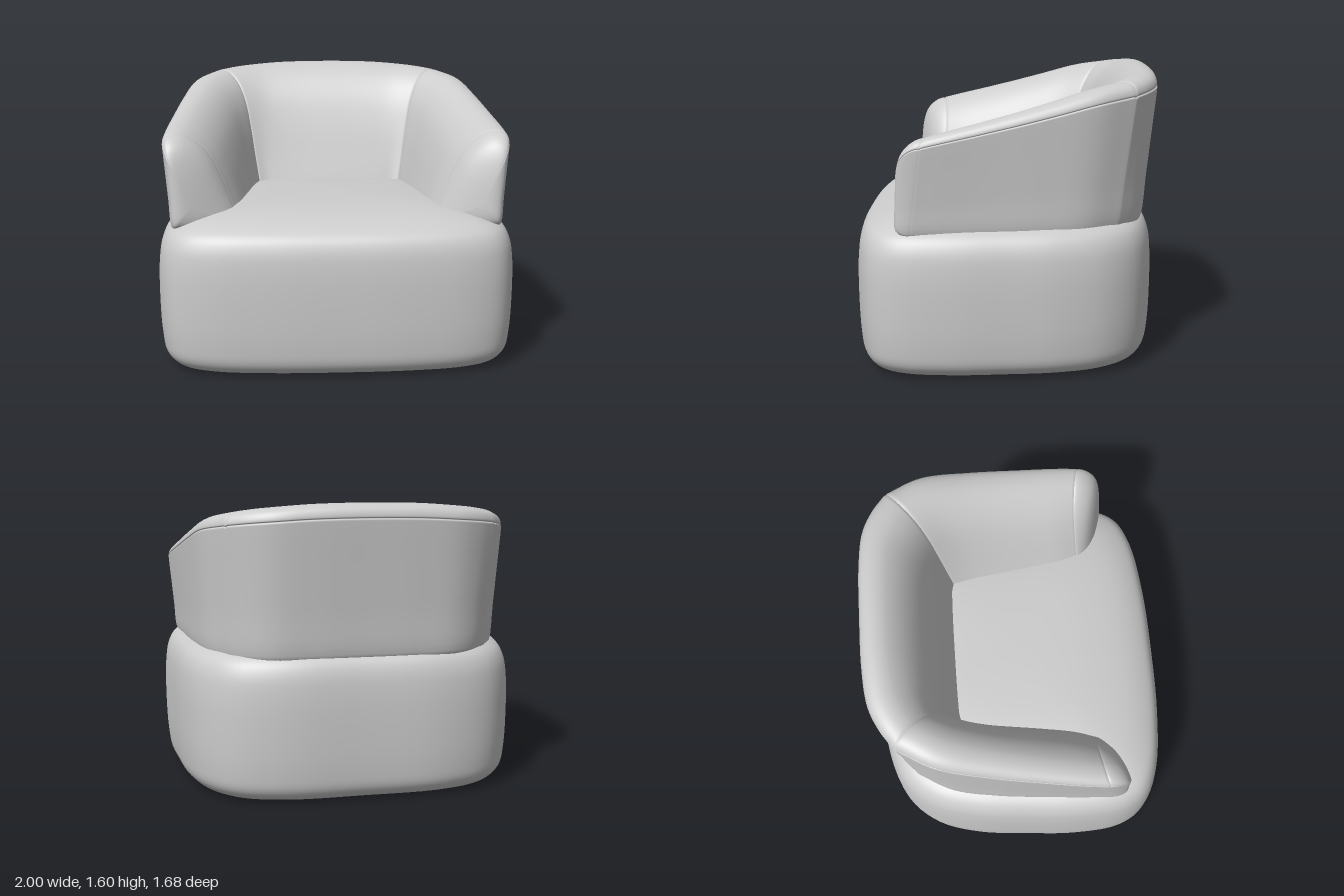
import * as THREE from 'three';

const fabric = new THREE.MeshStandardMaterial({ color: 0xcccccc });
fabric.name = 'grey fabric';

const v3 = (a) => new THREE.Vector3(a[0], a[1], a[2] || 0);
const spline = (pts, closed = false) => new THREE.CatmullRomCurve3(pts.map(v3), closed);
const samples = (curve, n) => Array.from({ length: n + 1 }, (_, i) => curve.getPoint(i / n));

// Smooth skin through a list of closed rings
function loft(name, rings) {
  const n = rings[0].length, pos = [], idx = [];
  rings.forEach((r) => r.forEach((p) => pos.push(p.x, p.y, p.z)));
  for (let i = 0; i < rings.length - 1; i++) {
    for (let j = 0; j < n; j++) {
      const a = i * n + j, b = i * n + (j + 1) % n;
      idx.push(a, b, a + n, b, b + n, a + n);
    }
  }
  const g = new THREE.BufferGeometry();
  g.setAttribute('position', new THREE.Float32BufferAttribute(pos, 3));
  g.setIndex(idx);
  g.computeVertexNormals();
  const mesh = new THREE.Mesh(g, fabric);
  mesh.name = name;
  return mesh;
}

const mirrorRings = (rings) =>
  rings.map((r) => r.map((p) => new THREE.Vector3(-p.x, p.y, p.z))).reverse();

// Seat: plan outline (x, z), half of it, and side profile (scale, y)
const seatHalf = [[0, 0.842], [0.4, 0.832], [0.73, 0.787], [0.895, 0.71], [0.972, 0.58], [1, 0.3],
  [0.982, 0], [0.95, -0.3], [0.87, -0.55], [0.72, -0.72], [0.45, -0.81], [0, -0.82]];
const seatProfile = [[0, 0], [0.84, 0.002], [0.92, 0.018], [0.97, 0.07], [0.99, 0.17], [1, 0.4],
  [0.995, 0.6], [0.978, 0.7], [0.945, 0.762], [0.88, 0.805], [0.75, 0.85], [0.5, 0.885],
  [0.25, 0.897], [0, 0.9]];

function seat() {
  const outline = seatHalf.concat(seatHalf.slice(1, -1).reverse().map(([x, z]) => [-x, z]));
  const plan = samples(spline(outline, true), 110).slice(0, -1);
  const rings = samples(spline(seatProfile), 65).map((s) =>
    plan.map((p) => new THREE.Vector3(p.x * s.x, s.y, p.y * s.x)));
  return loft('seat', rings);
}

// Cushion cross-section: u runs from outside to inside, v from bottom to top
const cushion = [[0.04, 0], [0, 0.04], [0, 0.3], [0, 0.6], [0, 0.88], [0.002, 0.9], [0.014, 0.907],
  [0.006, 0.916], [0.03, 0.958], [0.085, 0.988], [0.18, 1], [0.3, 0.98], [0.48, 0.89], [0.65, 0.74],
  [0.78, 0.54], [0.89, 0.3], [0.97, 0.1], [1, 0]];
const cushionRing = samples(spline(cushion, true), cushion.length * 4).slice(0, -1);
const FLOOR = 0.765;

// Stations: outer bottom x z, outer top x z, inner bottom x z, top height, inner fullness
const backHalf = [
  [0, -0.76, 0, -0.852, 0, -0.33, 1.6, 0.08],
  [0.28, -0.76, 0.3, -0.848, 0.18, -0.33, 1.595, 0.09],
  [0.48, -0.745, 0.5, -0.825, 0.31, -0.33, 1.582, 0.11],
  [0.6, -0.695, 0.63, -0.77, 0.38, -0.33, 1.57, 0.13],
  [0.71, -0.6, 0.74, -0.695, 0.42, -0.32, 1.555, 0.15]];
const armStations = [
  backHalf[4],
  [0.81, -0.42, 0.85, -0.49, 0.435, -0.22, 1.52, 0.11],
  [0.86, -0.18, 0.905, -0.2, 0.45, -0.09, 1.445, 0.07],
  [0.89, 0.12, 0.94, 0.1, 0.475, 0.12, 1.37, 0.05],
  [0.908, 0.36, 0.96, 0.3, 0.505, 0.31, 1.322, 0.05],
  [0.915, 0.5, 0.967, 0.43, 0.54, 0.42, 1.29, 0.05]];

// Section at a station, shrunk by s and pushed forward by dz, less so towards the inside
function section([ax, az, bx, bz, ix, iz, top, full], s, dz = 0) {
  return cushionRing.map((p) => {
    const u = 0.33 + (p.x + full * Math.sin(Math.PI * p.x) * p.y - 0.33) * s;
    const v = 0.25 + (p.y - 0.25) * s;
    return new THREE.Vector3(
      ax + (bx - ax) * v + (ix - ax) * u,
      FLOOR + (top - FLOOR) * v,
      az + (bz - az) * v + (iz - az) * u + dz * (0.7 + 0.3 * v) * (1 - 0.55 * u * u));
  });
}

// Rings along the stations, pinched at both ends to form the seams
function sweep(stations, n) {
  const outer = spline(stations.map((s) => [s[0], s[6], s[1]]));
  const upper = spline(stations.map((s) => [s[2], s[7], s[3]]));
  const inner = spline(stations.map((s) => [s[4], 0, s[5]]));
  const ts = [0, 0.012, 0.025];
  for (let i = 1; i < n; i++) ts.push(0.025 + 0.95 * i / n);
  ts.push(0.975, 0.988, 1);
  return ts.map((t) => {
    const a = outer.getPoint(t), b = upper.getPoint(t), c = inner.getPoint(t);
    const pinch = t === 0 || t === 1 ? 0.99 : 1;
    return section([a.x, a.z, b.x, b.z, c.x, c.z, a.y, b.y], pinch);
  });
}

// Rounded front panel of an arm
function capRings() {
  const curve = spline([[0.99, 0], [0.992, 0.012], [0.97, 0.04], [0.91, 0.077], [0.82, 0.108],
    [0.68, 0.13], [0.47, 0.144], [0.24, 0.15], [0, 0.152]]);
  return samples(curve, 32).map((p) => section(armStations[5], p.x, p.y));
}

export function createModel() {
  const model = new THREE.Group();
  model.name = 'armchair';
  model.add(seat());

  // Backrest from right corner to left corner
  const flip = ([a, b, c, d, e, ...rest]) => [-a, b, -c, d, -e, ...rest];
  const back = backHalf.slice(1).reverse().map(flip).concat(backHalf);
  model.add(loft('backrest', sweep(back, 48)));

  // Arms with front panels
  const arm = sweep(armStations, 32), cap = capRings();
  const left = new THREE.Group(), right = new THREE.Group();
  left.name = 'leftArm';
  right.name = 'rightArm';
  left.add(loft('leftArmCushion', arm), loft('leftArmFront', cap));
  right.add(loft('rightArmCushion', mirrorRings(arm)), loft('rightArmFront', mirrorRings(cap)));
  model.add(left, right);
  return model;
}
